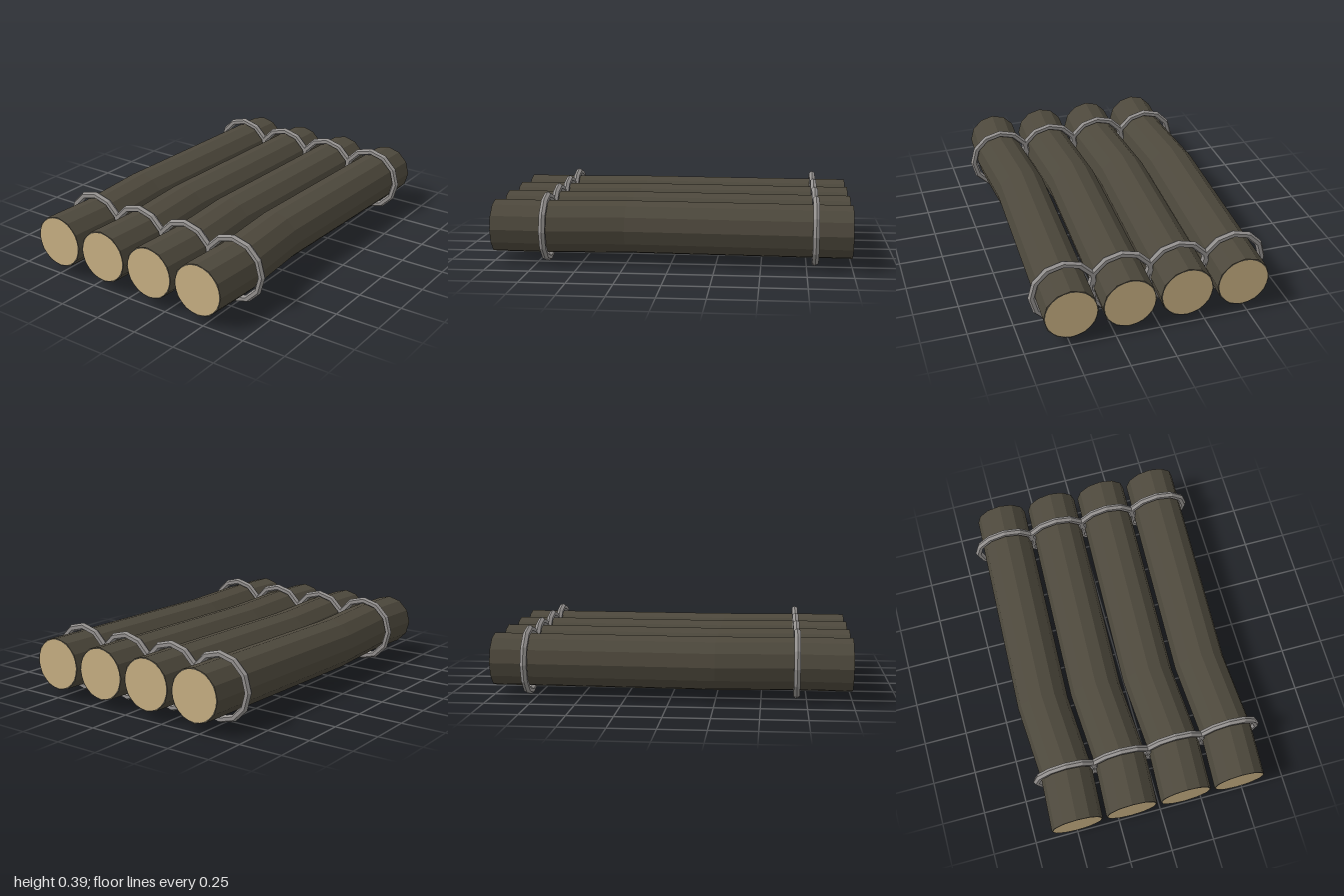
import * as THREE from 'three';

const bark = new THREE.MeshStandardMaterial({ color: 0x4d483c });
bark.name = 'bark';
const cutWood = new THREE.MeshStandardMaterial({ color: 0xc8b083 });
cutWood.name = 'cutWood';
const steel = new THREE.MeshStandardMaterial({ color: 0x959290 });
steel.name = 'steel';

const LOG_X = [-0.48, -0.16, 0.16, 0.48];
const CENTRE_Y = 0.2;
const LOG_RADIUS = 0.149;
const HALF_LENGTH = 0.999;

// Sideways bend of every log: [z, x offset] from front to back
const BEND = [[HALF_LENGTH, -0.015], [0.7, 0], [0.25, -0.03], [-HALF_LENGTH, 0.013]];

// Split shared vertices so every facet stays flat
function faceted(geometry) {
  const flat = geometry.toNonIndexed();
  flat.computeVertexNormals();
  return flat;
}

// Twelve-sided cylinder along z whose rings follow the bend
function bentLog() {
  const rows = BEND.length - 1;
  const geometry = new THREE.CylinderGeometry(LOG_RADIUS, LOG_RADIUS, 2, 12, rows);
  geometry.rotateX(Math.PI / 2);
  const p = geometry.attributes.position;
  for (let i = 0; i < p.count; i++) {
    const [z, dx] = BEND[Math.round((1 - p.getZ(i)) * rows / 2)];
    p.setX(i, p.getX(i) + dx);
    p.setZ(i, z);
  }
  return faceted(geometry);
}

export function createModel() {
  const model = new THREE.Group();
  model.name = 'logBundle';

  const add = (parent, name, geometry, material, x, y, z) => {
    const mesh = new THREE.Mesh(geometry, material);
    mesh.name = name;
    mesh.position.set(x, y, z);
    parent.add(mesh);
    return mesh;
  };

  const logGeometry = bentLog();
  const faceGeometry = new THREE.CircleGeometry(0.14, 24);
  const ringGeometry = faceted(new THREE.TorusGeometry(0.177, 0.02, 6, 12));

  for (const x of LOG_X) {
    const log = new THREE.Group();
    log.name = 'log';
    log.position.set(x, CENTRE_Y, 0);
    model.add(log);
    add(log, 'barkBody', logGeometry, bark, 0, 0, 0);

    // Pale sawn faces at both ends
    add(log, 'frontCutFace', faceGeometry, cutWood, BEND[0][1], 0, 1);
    add(log, 'backCutFace', faceGeometry, cutWood, BEND[BEND.length - 1][1], 0, -1).rotation.y = Math.PI;

    // Binding rings, overlapping those of the neighbouring logs
    add(log, 'frontRing', ringGeometry, steel, 0, 0, 0.695);
    add(log, 'backRing', ringGeometry, steel, -0.002, 0, -0.797);
  }
  return model;
}
